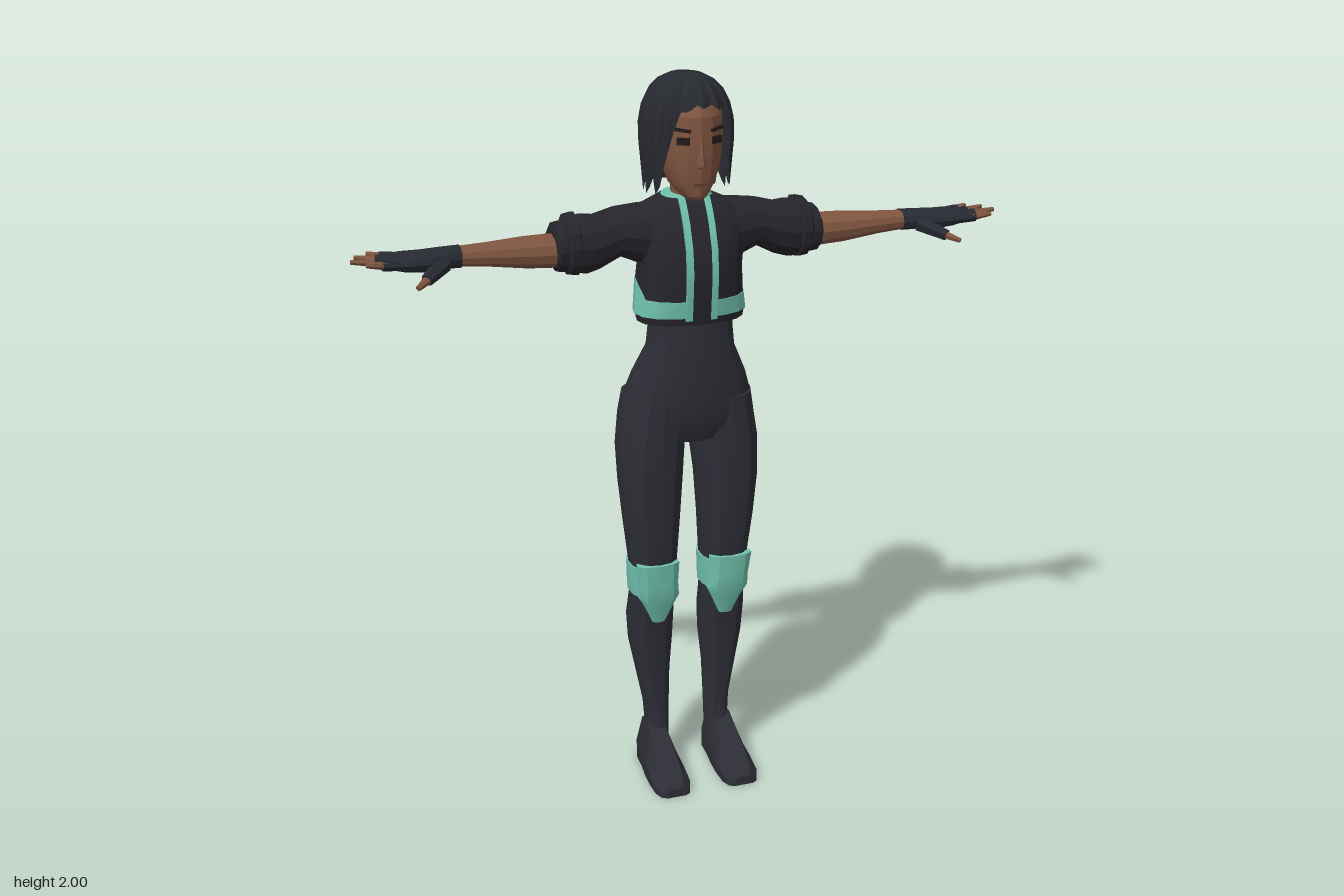
import * as THREE from 'three';
import { toCreasedNormals } from 'three/addons/utils/BufferGeometryUtils.js';

const paint = (name, color, extra = {}) => Object.assign(new THREE.MeshStandardMaterial({ color, ...extra }), { name });

// Skin a list of rings (each a list of [x, y, z], counter-clockwise about the direction of travel)
function loft(rings, caps = true, crease = 0.4) {
  const n = rings[0].length, pos = rings.flat(2), idx = [];
  for (let i = 0; i < rings.length - 1; i++) {
    for (let j = 0; j < n; j++) {
      const a = i * n + j, b = i * n + (j + 1) % n;
      idx.push(a, b, b + n, a, b + n, a + n);
    }
  }
  if (caps) {
    [0, rings.length - 1].forEach((r, end) => {
      const c = pos.length / 3;
      for (let k = 0; k < 3; k++) pos.push(rings[r].reduce((s, p) => s + p[k], 0) / n);
      for (let j = 0; j < n; j++) {
        const a = r * n + j, b = r * n + (j + 1) % n;
        if (end) idx.push(c, a, b); else idx.push(c, b, a);
      }
    });
  }
  const g = new THREE.BufferGeometry();
  g.setAttribute('position', new THREE.Float32BufferAttribute(pos, 3));
  g.setIndex(idx);
  return toCreasedNormals(g, crease);
}

const pw = (v, e) => Math.sign(v) * Math.abs(v) ** e;

// Upright form; sections are [y, centre x, half width, front z, back z, front drop]
function upright(sections, n = 16, e = 0.85) {
  return loft(sections.map(([y, cx, rx, zf, zb, drop = 0]) => Array.from({ length: n }, (_, j) => {
    const a = j / n * Math.PI * 2, c = Math.cos(a);
    return [cx + rx * pw(Math.sin(a), e), y - (c > 0.3 ? drop : 0), (zf + zb) / 2 + (zf - zb) / 2 * pw(c, e)];
  })));
}

// Form along x; sections are [x, top y, bottom y, front z, back z]
function sideways(sections, n = 12) {
  return loft(sections.map(([x, t, b, zf, zb]) => Array.from({ length: n }, (_, j) => {
    const a = j / n * Math.PI * 2;
    return [x, (t + b) / 2 + (t - b) / 2 * pw(Math.cos(a), 0.9), (zf + zb) / 2 + (zf - zb) / 2 * pw(Math.sin(a), 0.9)];
  })));
}

// Tapered rod between two points
function rod(a, b, r1, r2) {
  const p = new THREE.Vector3(...a), q = new THREE.Vector3(...b), d = q.clone().sub(p);
  const g = new THREE.CylinderGeometry(r2, r1, d.length(), 6);
  g.applyQuaternion(new THREE.Quaternion().setFromUnitVectors(new THREE.Vector3(0, 1, 0), d.normalize()));
  const m = p.add(q).multiplyScalar(0.5);
  return toCreasedNormals(g.translate(m.x, m.y, m.z), 0.4);
}

// Thin strip running up a path of [y, z], from x0 to x1
const strip = (path, x0, x1) => loft(path.map(([y, z]) => [[x0, y, z], [x0, y, z - 0.009], [x1, y, z - 0.009], [x1, y, z]].reverse()));

function mirrored(geo) {
  const g = (geo.index ? geo.toNonIndexed() : geo.clone()).scale(-1, 1, 1);
  for (const at of [g.attributes.position, g.attributes.normal]) {
    for (let i = 0; i < at.count; i += 3) {
      const u = [at.getX(i + 1), at.getY(i + 1), at.getZ(i + 1)];
      at.setXYZ(i + 1, at.getX(i + 2), at.getY(i + 2), at.getZ(i + 2));
      at.setXYZ(i + 2, ...u);
    }
  }
  return g;
}

export function createModel() {
  const suit = paint('suit charcoal', 0x2d2d36);
  const cloth = paint('jacket black', 0x25252b);
  const glove = paint('glove black', 0x272a32);
  const teal = paint('teal trim', 0x70c2ad);
  const skin = paint('skin brown', 0x805540);
  const hairMat = paint('hair black', 0x272930, { side: THREE.DoubleSide });
  const ink = paint('eye dark', 0x241a1a);
  const lip = paint('lip brown', 0x5c3a2e);

  const model = new THREE.Group();
  const add = (name, geo, mat) => {
    const m = new THREE.Mesh(geo, mat);
    m.name = name;
    model.add(m);
  };
  const pair = (name, geo, mat) => {
    add(name + 'Left', geo, mat);
    add(name + 'Right', mirrored(geo), mat);
  };

  // Waist and hips
  add('hips', upright([[1.02, 0, 0.17, 0.07, -0.11], [1.06, 0, 0.19, 0.088, -0.135], [1.12, 0, 0.183, 0.097, -0.14],
    [1.2, 0, 0.157, 0.1, -0.11], [1.28, 0, 0.12, 0.098, -0.08], [1.34, 0, 0.114, 0.095, -0.074], [1.42, 0, 0.115, 0.09, -0.07]]), suit);

  // Legs and feet
  pair('leg', upright([[0.05, 0.093, 0.036, 0.03, -0.07], [0.1, 0.09, 0.032, 0.018, -0.066], [0.2, 0.092, 0.037, 0.012, -0.068],
    [0.3, 0.1, 0.048, 0.018, -0.082], [0.4, 0.105, 0.062, 0.026, -0.1], [0.48, 0.106, 0.066, 0.034, -0.102], [0.56, 0.104, 0.062, 0.052, -0.09],
    [0.66, 0.104, 0.067, 0.066, -0.088], [0.78, 0.108, 0.078, 0.078, -0.092], [0.9, 0.11, 0.088, 0.085, -0.102],
    [1.0, 0.106, 0.093, 0.088, -0.13], [1.07, 0.1, 0.089, 0.088, -0.145], [1.14, 0.092, 0.085, 0.088, -0.135]], 14), suit);
  pair('foot', loft([[-0.083, 0.032, 0.08], [-0.06, 0.04, 0.13], [0.0, 0.044, 0.135], [0.05, 0.05, 0.105], [0.1, 0.053, 0.075],
    [0.155, 0.052, 0.046], [0.182, 0.042, 0.034], [0.191, 0.028, 0.026]].map(([z, w, h]) =>
    [[-w, 0], [w, 0], [w, h * 0.45], [w * 0.55, h], [-w * 0.55, h], [-w, h * 0.45]].map(([x, y]) => [0.101 + x, y, z]))), suit);

  // Knee bands and pointed pads
  pair('kneeBand', upright([[0.56, 0.104, 0.066, 0.058, -0.096], [0.6, 0.104, 0.069, 0.064, -0.096], [0.65, 0.104, 0.071, 0.068, -0.094]], 14), teal);
  pair('kneePad', upright([[0.478, 0.1, 0.022, 0.041, 0], [0.53, 0.1, 0.044, 0.056, 0], [0.56, 0.102, 0.06, 0.066, 0],
    [0.6, 0.104, 0.058, 0.072, 0], [0.665, 0.107, 0.062, 0.076, 0.02]], 10), teal);

  // Cropped jacket: hem, teal band, body
  add('jacketHem', upright([[1.355, 0, 0.146, 0.096, -0.092], [1.378, 0, 0.15, 0.1, -0.096]]), cloth);
  add('jacketBand', upright([[1.376, 0, 0.154, 0.103, -0.1], [1.462, 0, 0.147, 0.11, -0.106, 0.04]]), teal);
  add('jacketBody', upright([[1.46, 0, 0.145, 0.108, -0.104, 0.04], [1.5, 0, 0.14, 0.113, -0.106], [1.56, 0, 0.148, 0.106, -0.11],
    [1.62, 0, 0.155, 0.082, -0.11], [1.655, 0, 0.135, 0.062, -0.1], [1.682, 0, 0.075, 0.04, -0.085]]), cloth);
  const front = [[1.37, 0.106], [1.46, 0.115], [1.5, 0.117], [1.56, 0.11], [1.62, 0.087], [1.655, 0.067], [1.684, 0.045]];
  add('frontOpening', strip(front, -0.025, 0.025), cloth);
  pair('zipTrim', strip(front, 0.025, 0.043), teal);

  // Neck and collar
  add('neck', upright([[1.64, 0, 0.045, 0.035, -0.06], [1.74, 0, 0.042, 0.04, -0.06]], 12), skin);
  add('collar', upright([[1.645, 0, 0.088, 0.05, -0.095], [1.67, 0, 0.076, 0.045, -0.09], [1.69, 0, 0.062, 0.037, -0.08]]), teal);

  // Sleeves with rolled cuffs
  pair('sleeve', sideways([[0.06, 1.672, 1.48, 0.06, -0.1], [0.13, 1.668, 1.505, 0.062, -0.1], [0.19, 1.66, 1.53, 0.05, -0.098],
    [0.25, 1.645, 1.5, 0.05, -0.095], [0.285, 1.65, 1.49, 0.055, -0.097], [0.32, 1.64, 1.5, 0.05, -0.092]]), cloth);
  pair('cuffInner', sideways([[0.3, 1.635, 1.51, 0.045, -0.09], [0.308, 1.657, 1.488, 0.06, -0.1], [0.33, 1.652, 1.492, 0.06, -0.1], [0.338, 1.635, 1.505, 0.05, -0.09]]), cloth);
  pair('cuffOuter', sideways([[0.33, 1.62, 1.51, 0.045, -0.085], [0.34, 1.634, 1.5, 0.053, -0.097], [0.36, 1.63, 1.503, 0.053, -0.097], [0.367, 1.615, 1.515, 0.043, -0.087]]), cloth);

  // Forearms and fingerless gloves
  pair('forearm', sideways([[0.34, 1.603, 1.513, 0.035, -0.078], [0.44, 1.602, 1.52, 0.035, -0.066], [0.54, 1.597, 1.535, 0.03, -0.045], [0.64, 1.594, 1.545, 0.028, -0.03]]), skin);
  pair('glove', sideways([[0.612, 1.598, 1.54, 0.033, -0.036], [0.66, 1.596, 1.542, 0.043, -0.04], [0.71, 1.592, 1.54, 0.055, -0.05],
    [0.76, 1.59, 1.545, 0.057, -0.058], [0.8, 1.585, 1.555, 0.053, -0.057], [0.808, 1.58, 1.56, 0.048, -0.05]]), glove);
  [[-0.045, 0.84, -0.06], [-0.015, 0.875, -0.03], [0.014, 0.89, 0.014], [0.041, 0.858, 0.06]].forEach(([z0, x1, z1], i) => {
    const zm = z0 + (z1 - z0) * 0.4, xm = 0.79 + (x1 - 0.79) * 0.4;
    pair('fingerSleeve' + i, rod([0.775, 1.57, z0], [xm, 1.573, zm], 0.0145, 0.0135), glove);
    pair('finger' + i, rod([xm - 0.01, 1.573, zm], [x1, 1.58, z1], 0.0115, 0.006), skin);
  });
  pair('thumbSleeve', rod([0.66, 1.56, 0.025], [0.715, 1.535, 0.082], 0.024, 0.016), glove);
  pair('thumb', rod([0.71, 1.537, 0.078], [0.742, 1.525, 0.111], 0.012, 0.007), skin);

  // Head and face
  add('head', upright([[1.682, 0, 0.02, 0.076, 0.02], [1.693, 0, 0.036, 0.088, -0.02], [1.72, 0, 0.058, 0.094, -0.06], [1.76, 0, 0.074, 0.099, -0.08],
    [1.8, 0, 0.083, 0.102, -0.1], [1.85, 0, 0.087, 0.102, -0.11], [1.9, 0, 0.085, 0.099, -0.11], [1.95, 0, 0.065, 0.07, -0.09]], 16, 1), skin);
  add('nose', loft([[1.77, 0.014, 0.1], [1.778, 0.016, 0.12], [1.81, 0.011, 0.112], [1.86, 0.007, 0.102]].map(([y, w, z]) =>
    [[0, y, z], [w, y, 0.092], [-w, y, 0.092]])), skin);
  const plate = (w, h, x, y, z, turn, tilt = 0) => new THREE.BoxGeometry(w, h, 0.009).rotateZ(tilt).rotateY(turn).translate(x, y, z);
  pair('eye', plate(0.034, 0.019, 0.044, 1.84, 0.086, 0.5), ink);
  pair('eyebrow', plate(0.044, 0.008, 0.046, 1.868, 0.085, 0.5, 0.12), ink);
  add('mouth', plate(0.034, 0.006, 0, 1.727, 0.092, 0), lip);

  // Hair: a ridged bob with a jagged hem, open around the face
  const hem = [[0, 1.925], [32, 1.915], [45, 1.85], [56, 1.75], [66, 1.705], [115, 1.695], [150, 1.71], [181, 1.735]];
  const hemAt = (deg) => {
    const d = Math.abs(deg), i = hem.findIndex(([a]) => a > d);
    return THREE.MathUtils.mapLinear(d, hem[i - 1][0], hem[i][0], hem[i - 1][1], hem[i][1]);
  };
  const N = 48, ROWS = 9, CAP = 0.24, hairRings = [];
  for (let k = ROWS; k >= 0; k--) {
    const t = Math.max(k / ROWS, 0.01);
    hairRings.push(Array.from({ length: N }, (_, j) => {
      const deg = (j / N) * 360 - 180 + 0.01, ridge = [1.02, 0.985, 0.945][j % 3];
      const end = hemAt(THREE.MathUtils.clamp(deg - 4, -180, 180)) + (Math.abs(deg) > 50 ? [-0.012, 0.004, 0.03][j % 3] : [0, 0.004, 0.01][j % 3]);
      const drop = end > 1.84 ? CAP * 2 / Math.PI * Math.acos(((end - 1.84) / 0.16) ** 1.2) : CAP + 1.84 - end;
      const s = t * drop, phi = Math.min(s / CAP, 1) * Math.PI / 2;
      const y = s < CAP ? 1.838 + 0.16 * Math.max(Math.cos(phi), 0) ** 0.83 : 1.84 - (s - CAP);
      const r = Math.sin(phi) ** 0.83 * ridge * (1 - Math.max(0, 1.84 - y) * 0.7);
      const a = THREE.MathUtils.degToRad(deg) + 0.25 * (1 - t) ** 2;
      return [0.004 + r * 0.12 * Math.sin(a), y, -0.035 + r * 0.153 * Math.cos(a)];
    }));
  }
  add('hair', loft(hairRings, false, 0.35), hairMat);
  add('innerHair', upright([[1.725, 0, 0.085, -0.02, -0.135], [1.8, 0, 0.103, 0.02, -0.16], [1.88, 0, 0.1, 0.03, -0.155], [1.95, 0, 0.07, 0.03, -0.11]], 14), hairMat);

  return model;
}
